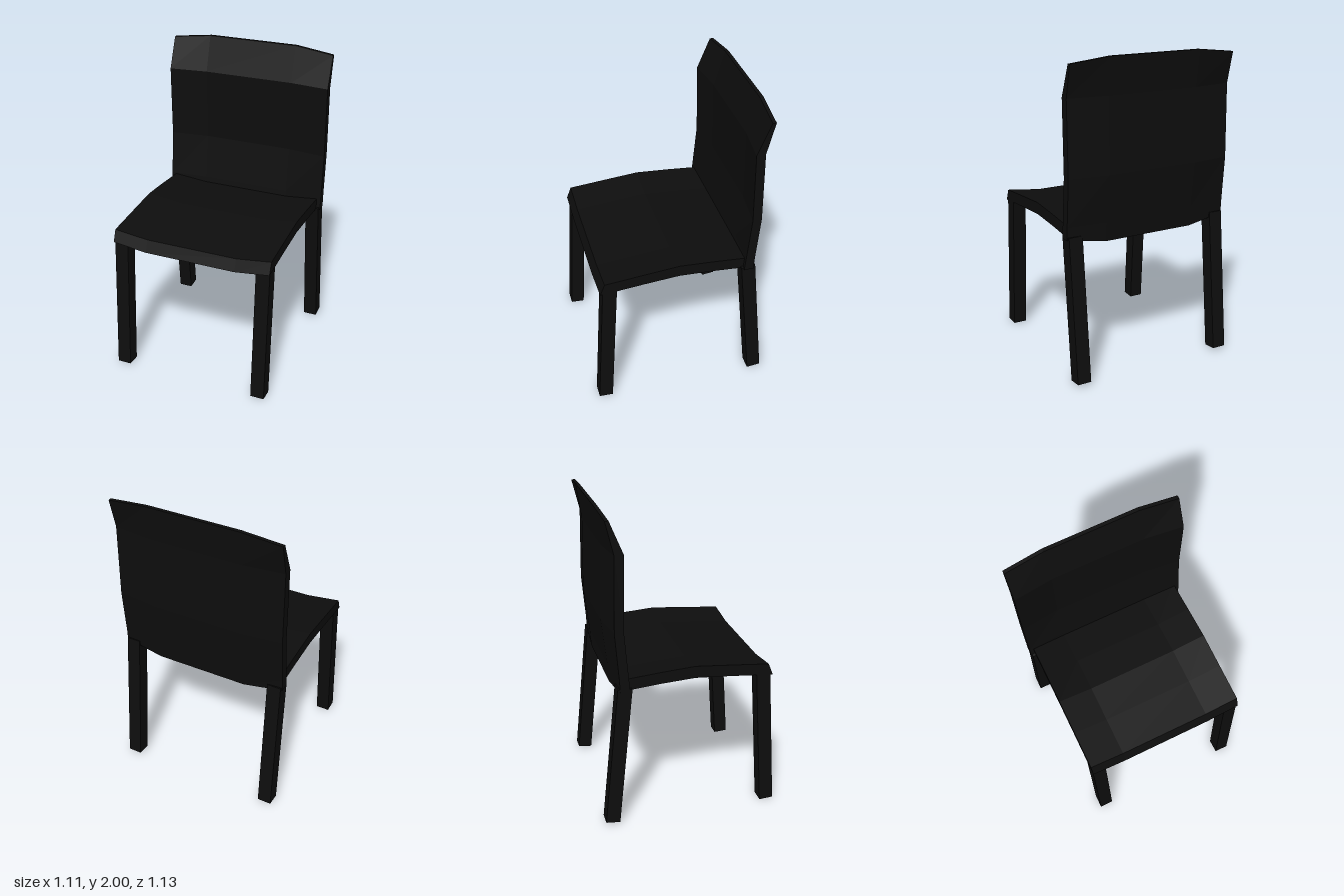
import * as THREE from 'three';

const material = new THREE.MeshStandardMaterial({ color: 0x0d0d0d, flatShading: true });

// Subdivided box whose vertices are moved by a rule: place(column 0..3, row, side 0|1) -> [x, y, z]
function bentSlab(name, rows, place) {
  const n = rows - 1;
  const geo = new THREE.BoxGeometry(1, 1, 1, 3, 1, n);
  const p = geo.attributes.position;
  for (let i = 0; i < p.count; i++) {
    const col = Math.round((p.getX(i) + 0.5) * 3);
    const row = Math.round((p.getZ(i) + 0.5) * n);
    p.setXYZ(i, ...place(col, row, p.getY(i) > 0 ? 1 : 0));
  }
  geo.computeVertexNormals();
  const mesh = new THREE.Mesh(geo, material);
  mesh.name = name;
  return mesh;
}

// Square straight leg between two points
function leg(name, foot, top) {
  const a = new THREE.Vector3(...foot);
  const b = new THREE.Vector3(...top);
  const mesh = new THREE.Mesh(new THREE.BoxGeometry(0.09, a.distanceTo(b), 0.09), material);
  mesh.position.copy(a).add(b).multiplyScalar(0.5);
  mesh.rotation.x = Math.atan2(b.z - a.z, b.y - a.y);
  mesh.name = name;
  return mesh;
}

export function createModel() {
  const group = new THREE.Group();
  group.name = 'chair';

  // Seat: rows run back to front [top z, top y, bottom z, bottom y], dished along the middle
  const seatRows = [
    [-0.43, 0.99, -0.43, 0.915],
    [-0.2, 1.01, -0.2, 0.935],
    [0.02, 1.025, 0.02, 0.948],
    [0.25, 1.006, 0.25, 0.932],
    [0.495, 0.985, 0.525, 0.908],
  ];
  const seatX = [-0.527, -0.3, 0.3, 0.527];
  group.add(bentSlab('seat', seatRows.length, (col, row, side) => {
    const [zt, yt, zb, yb] = seatRows[row];
    const dip = col === 1 || col === 2 ? 0.028 : 0;
    return [seatX[col], (side ? yt : yb) - dip, side ? zt : zb];
  }));

  // Backrest: rows run top to bottom [y, front z, rear z, hollow], middle pushed rearwards
  const backRows = [
    [1.97, -0.497, -0.52, 0.015],
    [1.77, -0.415, -0.472, 0.03],
    [1.3, -0.425, -0.482, 0.03],
    [1.0, -0.4, -0.458, 0.02],
    [0.92, -0.393, -0.455, 0.015],
  ];
  const backX = [-0.555, -0.3, 0.3, 0.555];
  group.add(bentSlab('backrest', backRows.length, (col, row, side) => {
    const [y, front, rear, hollow] = backRows[row];
    const middle = col === 1 || col === 2;
    const bow = middle ? (row === 0 ? 0.03 : row === 4 ? -0.04 : 0) : 0;
    return [backX[col], y + bow, (side ? front : rear) - (middle ? hollow : 0)];
  }));

  // Legs, splayed forwards and backwards
  for (const [label, s] of [['Left', 1], ['Right', -1]]) {
    group.add(leg(`front${label}Leg`, [s * 0.479, 0.004, 0.52], [s * 0.479, 0.935, 0.463]));
    group.add(leg(`back${label}Leg`, [s * 0.503, 0.015, -0.518], [s * 0.503, 0.935, -0.423]));
  }
  return group;
}
